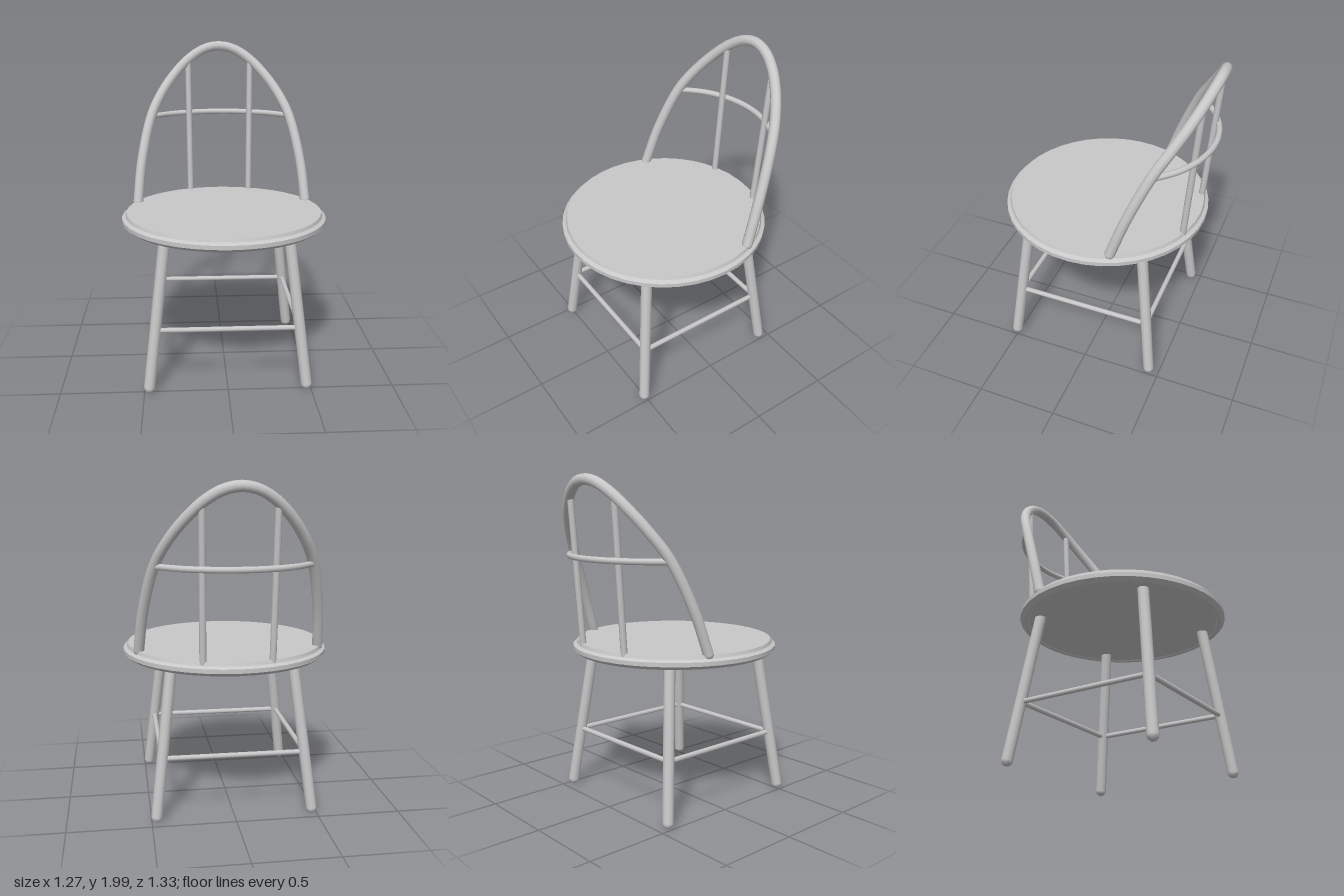
import * as THREE from 'three';
import { toCreasedNormals } from 'three/addons/utils/BufferGeometryUtils.js';

const UP = new THREE.Vector3(0, 1, 0);
const v = (x, y, z) => new THREE.Vector3(x, y, z);

export function createModel() {
  const chair = new THREE.Group();
  chair.name = 'chair';
  const paint = new THREE.MeshStandardMaterial({ color: 0xc8c8c8 });
  paint.name = 'light grey';

  const add = (name, geometry) => {
    const mesh = new THREE.Mesh(geometry, paint);
    mesh.name = name;
    chair.add(mesh);
    return mesh;
  };

  // Straight round bar between two points, optionally with rounded ends
  const bar = (name, a, b, radius, rounded = false) => {
    const length = a.distanceTo(b);
    const geometry = rounded
      ? new THREE.CapsuleGeometry(radius, length - 2 * radius, 3, 10)
      : new THREE.CylinderGeometry(radius, radius, length, 8);
    const mesh = add(name, geometry);
    mesh.position.copy(a).add(b).multiplyScalar(0.5);
    mesh.quaternion.setFromUnitVectors(UP, b.clone().sub(a).normalize());
  };

  // Bent round bar through a few points
  const bentBar = (name, points, radius, segments) => {
    const curve = new THREE.CatmullRomCurve3(points, false, 'centripetal');
    add(name, new THREE.TubeGeometry(curve, segments, radius, 10));
    for (const p of [points[0], points[points.length - 1]]) {
      add(name + 'End', new THREE.SphereGeometry(radius, 10, 6)).position.copy(p);
    }
  };

  // Mirror half a path (ending on the centre line) to the other side
  const mirrored = (half) => [
    ...half,
    ...half.slice(0, -1).reverse().map((p) => v(-p.x, p.y, p.z)),
  ];

  // Round seat with a stepped rim
  const seatZ = 0.033;
  const profile = [
    [0, 0.93], [0.582, 0.93], [0.588, 0.922], [0.608, 0.922], [0.635, 0.943],
    [0.635, 0.968], [0.613, 0.98], [0.606, 1.0], [0, 1.0],
  ].map(([r, y]) => new THREE.Vector2(r, y));
  const seat = add('seat', toCreasedNormals(new THREE.LatheGeometry(profile, 40), 0.35));
  seat.position.z = seatZ;

  // Splayed legs
  const legAt = (sx, sz, y) => {
    const d = 0.475 - 0.115 * (y / 0.97);
    return v(sx * d, y, seatZ + 0.004 + sz * d);
  };
  for (const sz of [1, -1]) {
    for (const sx of [1, -1]) {
      const name = (sz > 0 ? 'front' : 'back') + (sx > 0 ? 'Left' : 'Right') + 'Leg';
      bar(name, legAt(sx, sz, 0.005), legAt(sx, sz, 0.965), 0.034, true);
    }
  }

  // Stretchers joining the legs
  const h = 0.385;
  for (const s of [1, -1]) {
    bar(s > 0 ? 'frontStretcher' : 'backStretcher', legAt(-1, s, h), legAt(1, s, h), 0.016);
    bar(s > 0 ? 'leftStretcher' : 'rightStretcher', legAt(s, -1, h), legAt(s, 1, h), 0.016);
  }

  // Back bow, following a curved wall around the seat
  const wall = (x, y, centre, radius) => v(x, y, centre - Math.sqrt(radius * radius - x * x));
  const bowHalf = [
    [0.546, 1.0], [0.521, 1.24], [0.455, 1.53], [0.38, 1.68],
    [0.285, 1.805], [0.19, 1.895], [0.095, 1.95], [0, 1.968],
  ].map(([x, y]) => wall(x, y, -0.073, 0.56));
  bentBar('backBow', mirrored(bowHalf), 0.032, 64);

  // Curved cross rail
  const railHalf = [0.45, 0.34, 0.23, 0.115, 0].map((x) => wall(x, 1.525, -0.05, 0.576));
  bentBar('backRail', mirrored(railHalf), 0.018, 32);

  // Back spindles
  for (const s of [1, -1]) {
    bar(s > 0 ? 'leftSpindle' : 'rightSpindle', v(s * 0.2, 0.97, -0.524), v(s * 0.208, 1.88, -0.59), 0.02);
  }

  return chair;
}
